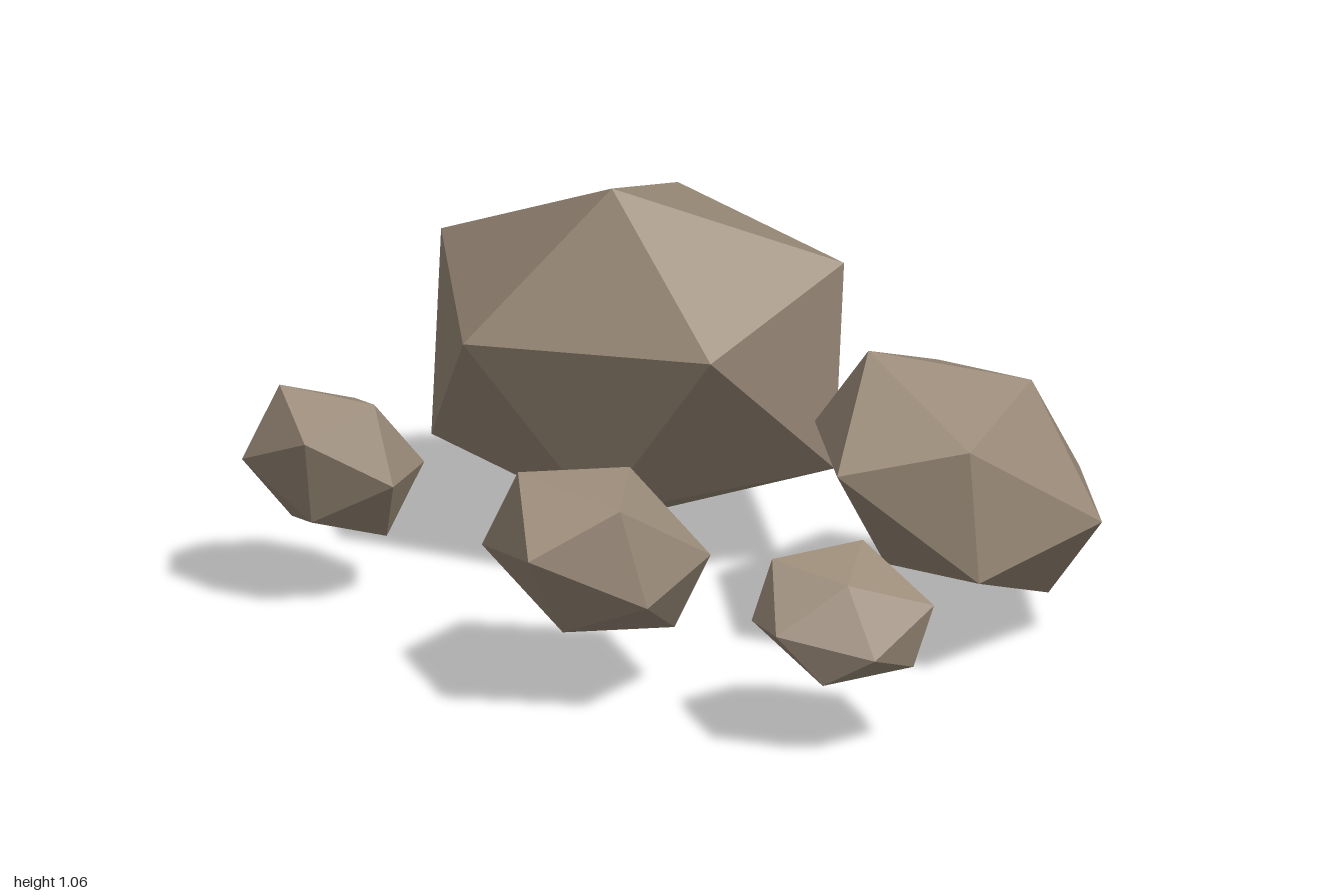
import * as THREE from 'three';
import { ConvexGeometry } from 'three/addons/geometries/ConvexGeometry.js';

// Each boulder is a stretched, tilted icosahedron: a centre and six corners;
// the other six corners are the same ones mirrored through the centre.
const ROCKS = [
  { name: 'largeBoulder', centre: [-0.44, 0.535, -0.257], corners: [
    [-0.25, 1.065, 0.015], [-0.915, 0.76, -0.07], [0.118, 0.728, 0.048],
    [-0.487, 0.675, 0.277], [0.075, 0.844, -0.437], [-0.56, 0.857, -0.508]] },
  { name: 'mediumBoulder', centre: [0.514, 0.448, -0.386], corners: [
    [0.433, 0.791, -0.167], [0.797, 0.636, -0.147], [0.54, 0.556, 0.042],
    [0.615, 0.67, -0.53], [0.829, 0.361, -0.554], [0.787, 0.291, -0.187]] },
  { name: 'frontRock', centre: [0.195, 0.401, 0.503], corners: [
    [0.128, 0.631, 0.697], [-0.053, 0.465, 0.43], [0.405, 0.588, 0.63],
    [0.278, 0.473, 0.81], [0.198, 0.583, 0.395], [-0.012, 0.405, 0.68]] },
  { name: 'rightRock', centre: [-0.695, 0.385, 0.504], corners: [
    [-0.752, 0.594, 0.626], [-0.54, 0.572, 0.519], [-0.585, 0.508, 0.706],
    [-0.824, 0.4, 0.68], [-0.476, 0.38, 0.519], [-0.65, 0.27, 0.62]] },
  { name: 'leftPebble', centre: [0.835, 0.364, 0.312], corners: [
    [0.711, 0.497, 0.425], [0.802, 0.514, 0.213], [0.818, 0.353, 0.517],
    [1.0, 0.39, 0.171], [0.993, 0.296, 0.36], [0.908, 0.467, 0.367]] },
];

function makeRock({ name, centre, corners }, material) {
  const c = new THREE.Vector3(...centre);
  const half = corners.map((p) => new THREE.Vector3(...p).sub(c));
  const points = half.flatMap((v) => [v, v.clone().negate()]);
  const mesh = new THREE.Mesh(new ConvexGeometry(points), material);
  mesh.name = name;
  mesh.position.copy(c);
  return mesh;
}

export function createModel() {
  const stone = new THREE.MeshStandardMaterial({ color: 0x9c8c7a });
  stone.name = 'stone';
  const group = new THREE.Group();
  group.name = 'rockCluster';
  for (const rock of ROCKS) group.add(makeRock(rock, stone));
  return group;
}
